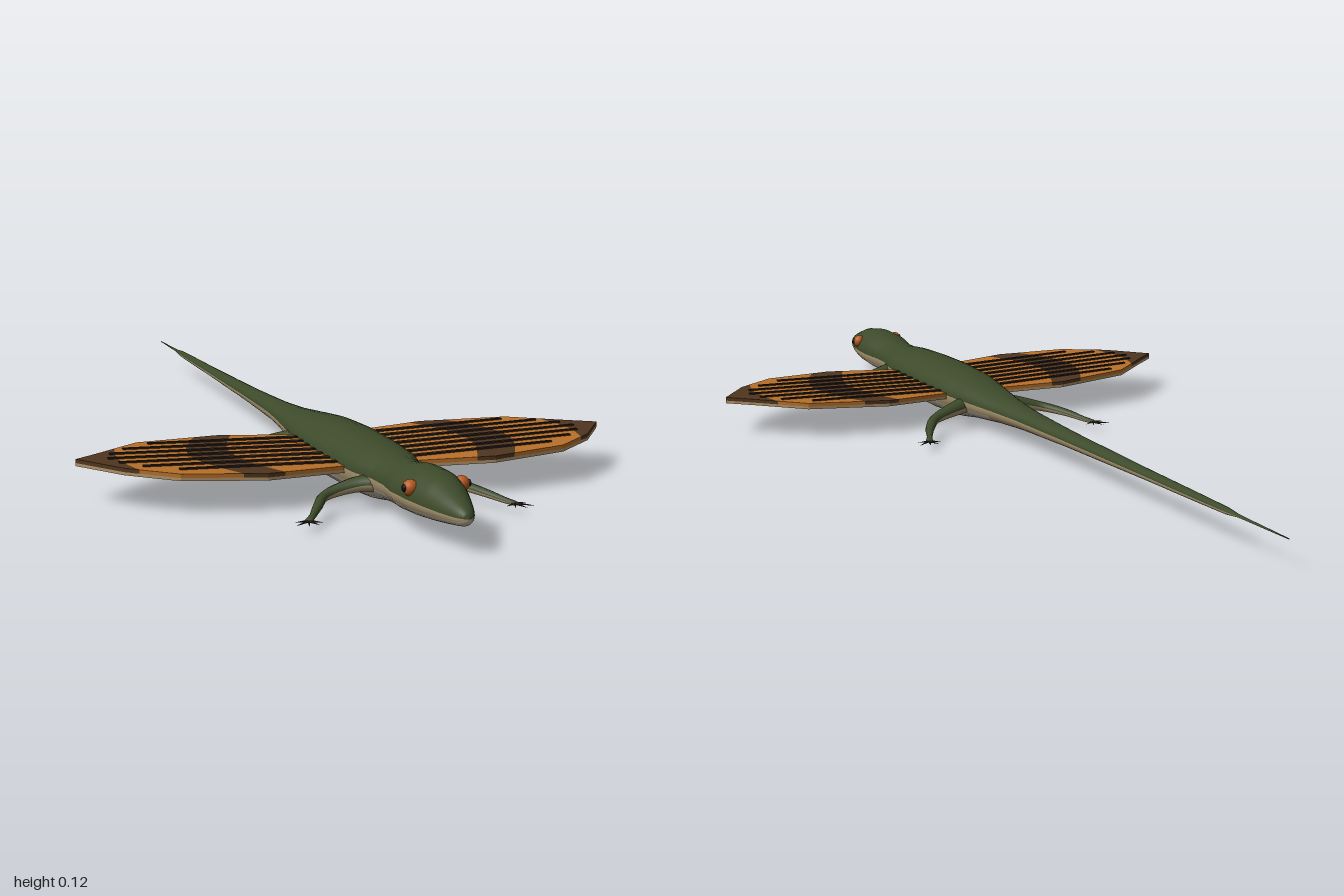
import * as THREE from 'three';

const mat = (name, hex) => {
  const m = new THREE.MeshStandardMaterial({ color: hex });
  m.name = name;
  return m;
};

// Smooth skin through sections [x, y, z, halfWidth, heightAbove, depthBelow];
// zone(h, z) picks the material from the height round the section (-1 to 1) and the position along z
function loft(sections, steps, sides, zone, sx = 1) {
  const at = (k) => (s) => new THREE.Vector3(s[k] * (k === 0 ? sx : 1), s[k + 1], s[k + 2]);
  const path = new THREE.CatmullRomCurve3(sections.map(at(0)), false, 'centripetal');
  const size = sections.map(at(3));
  const up = new THREE.Vector3(0, 1, 0);
  const pos = [], zones = [[], [], []];
  for (let i = 0; i <= steps; i++) {
    const t = i / steps, f = t * (sections.length - 1);
    const k = Math.min(Math.floor(f), sections.length - 2);
    const p = path.getPoint(t), s = size[k].clone().lerp(size[k + 1], f - k);
    const right = path.getTangent(t).cross(up).normalize();
    for (let j = 0; j < sides; j++) {
      const a = (j / sides) * Math.PI * 2, c = Math.cos(a) * s.x, h = Math.sin(a);
      pos.push(p.x + right.x * c, p.y + h * (h > 0 ? s.y : s.z), p.z + right.z * c);
      if (i === steps) continue;
      const n = (j + 1) % sides, r = i * sides;
      const mid = Math.sin(((j + 0.5) / sides) * Math.PI * 2);
      zones[zone(mid, p.z)].push(r + j, r + sides + j, r + n, r + n, r + sides + j, r + sides + n);
    }
  }
  const g = new THREE.BufferGeometry();
  g.setAttribute('position', new THREE.Float32BufferAttribute(pos, 3));
  g.setIndex(zones.flat());
  let start = 0;
  zones.forEach((list, i) => {
    g.addGroup(start, list.length, i);
    start += list.length;
  });
  g.computeVertexNormals();
  return g;
}

// Wing outline as [x, z], rear root round the tip to the front root
const OUTLINE = [[0.03, 0.285], [0.07, 0.28], [0.22, 0.255], [0.4, 0.29], [0.5, 0.375], [0.55, 0.415],
  [0.48, 0.51], [0.39, 0.58], [0.23, 0.61], [0.07, 0.58], [0.03, 0.57]];
const REAR = OUTLINE.slice(0, 6), FRONT = OUTLINE.slice(5).reverse();

function edgeZ(edge, x) {
  const i = edge.findIndex((p) => p[0] >= x), [a, b] = [edge[i - 1], edge[i]];
  return a[1] + ((b[1] - a[1]) * (x - a[0])) / (b[0] - a[0]);
}

// Curve across the wing from rear edge to front edge, bulging toward the tip
function across(x0, bulge, n = 14) {
  const rear = edgeZ(REAR, x0), front = edgeZ(FRONT, x0);
  return Array.from({ length: n + 1 }, (_, i) =>
    [x0 + bulge * Math.sin((Math.PI * i) / n), THREE.MathUtils.lerp(rear, front, i / n)]);
}

// Flat plate from [x, z] points, laid level then sloped up toward the tip
function plate(points, y, depth) {
  const g = new THREE.ExtrudeGeometry(new THREE.Shape(points.map(([x, z]) => new THREE.Vector2(x, -z))),
    { depth, bevelEnabled: false });
  g.rotateX(-Math.PI / 2);
  const p = g.attributes.position;
  for (let i = 0; i < p.count; i++) p.setY(i, p.getY(i) + y + 0.026 * p.getX(i));
  g.computeVertexNormals();
  return g;
}

// Mirrored copy with corner order restored
function mirrorX(g) {
  const m = g.clone().scale(-1, 1, 1), p = m.attributes.position;
  for (let i = 0; i < p.count; i += 3) {
    const a = [p.getX(i), p.getY(i), p.getZ(i)];
    p.setXYZ(i, p.getX(i + 1), p.getY(i + 1), p.getZ(i + 1));
    p.setXYZ(i + 1, ...a);
  }
  m.computeVertexNormals();
  return m;
}

export function createModel() {
  const green = mat('back green', 0x3d4a2a), tan = mat('flank tan', 0xa8946f), belly = mat('belly pale', 0xc2b7a0);
  const orange = mat('wing orange', 0xb97029), brown = mat('band brown', 0x50351f);
  const dark = mat('ray dark brown', 0x2a1f18), under = mat('wing underside', 0xb19368);
  const eyeOrange = mat('eye orange', 0xb85a1e), black = mat('pupil black', 0x0c0a08);
  const model = new THREE.Group();
  model.name = 'glidingLizard';
  const add = (name, geometry, material, parent = model) => {
    const m = new THREE.Mesh(geometry, material);
    m.name = name;
    parent.add(m);
    return m;
  };

  // Head, trunk and tail: z, half width, top, side line, bottom
  const body = [
    [1, 0.0002, 0.0642, 0.064, 0.0638], [0.996, 0.009, 0.073, 0.064, 0.055], [0.985, 0.017, 0.081, 0.064, 0.048],
    [0.95, 0.031, 0.095, 0.065, 0.042], [0.9, 0.046, 0.112, 0.067, 0.036], [0.85, 0.057, 0.119, 0.069, 0.031],
    [0.79, 0.06, 0.117, 0.069, 0.027], [0.73, 0.051, 0.108, 0.067, 0.024], [0.68, 0.053, 0.106, 0.067, 0.02],
    [0.62, 0.067, 0.111, 0.067, 0.01], [0.54, 0.073, 0.114, 0.067, 0.004], [0.42, 0.075, 0.115, 0.067, 0.001],
    [0.3, 0.071, 0.11, 0.066, 0.006], [0.22, 0.06, 0.102, 0.064, 0.018], [0.1, 0.041, 0.089, 0.062, 0.03],
    [0, 0.03, 0.083, 0.061, 0.036], [-0.2, 0.021, 0.076, 0.06, 0.042], [-0.5, 0.014, 0.07, 0.06, 0.048],
    [-0.8, 0.008, 0.066, 0.06, 0.053], [-0.84, 0.004, 0.063, 0.06, 0.057], [-1, 0.001, 0.061, 0.06, 0.059],
  ].map(([z, w, top, mid, bottom]) => [0, mid, z, w, top - mid, mid - bottom]);
  add('body', loft(body, 120, 28, (h, z) => (h > 0 ? 0 : h > -0.4 || z < 0.12 ? 1 : 2)), [green, tan, belly]);

  // Gliding wings: orange skin and brown bands side by side over a pale brown underside, with rib rays on top
  const bandIn = across(0.195, 0.05), bandOut = across(0.275, 0.055), tipEdge = across(0.455, 0.016);
  const skin = (points) => plate(points, 0.061, 0.0075);
  const parts = [
    ['wingUnderside', plate(OUTLINE, 0.055, 0.006), under],
    ['innerSkin', skin([...OUTLINE.slice(0, 2), ...bandIn, ...OUTLINE.slice(9)]), orange],
    ['innerBand', skin([...bandIn.slice(0, 1), OUTLINE[2], ...bandOut, OUTLINE[8], ...bandIn.slice(1).reverse()]), brown],
    ['outerSkin', skin([...bandOut.slice(0, 1), OUTLINE[3], ...tipEdge, OUTLINE[7], ...bandOut.slice(1).reverse()]), orange],
    ['tipBand', skin([...OUTLINE.slice(4, 7), ...tipEdge.slice().reverse()]), brown],
  ];
  for (let i = 0; i < 7; i++) {
    const z = 0.31 + i * 0.039, end = 0.49 - 0.012 * (i - 3) ** 2, w = 0.0065;
    parts.push(['ray', plate([[0.05, z - w], [end, z - w * 0.6], [end, z + w * 0.6], [0.05, z + w]], 0.067, 0.0045), dark]);
  }
  for (const side of [1, -1]) {
    const wing = new THREE.Group();
    wing.name = side > 0 ? 'leftWing' : 'rightWing';
    model.add(wing);
    for (const [name, g, m] of parts) add(name, side > 0 ? g : mirrorX(g), m, wing);
  }

  // Legs: x, y, z, half width, above, below; then the toe fan
  const legs = {
    frontLeg: { heading: 1, path: [[0.03, 0.055, 0.665, 0.022, 0.018, 0.018], [0.075, 0.05, 0.65, 0.017, 0.015, 0.015],
      [0.135, 0.036, 0.657, 0.01, 0.01, 0.01], [0.168, 0.028, 0.705, 0.009, 0.008, 0.008],
      [0.19, 0.021, 0.74, 0.006, 0.006, 0.006], [0.203, 0.018, 0.757, 0.008, 0.004, 0.004], [0.207, 0.017, 0.763, 0.001, 0.001, 0.001]] },
    hindLeg: { heading: -1, path: [[0.025, 0.055, 0.235, 0.026, 0.02, 0.02], [0.075, 0.048, 0.217, 0.019, 0.016, 0.016],
      [0.135, 0.036, 0.192, 0.012, 0.011, 0.011], [0.172, 0.028, 0.14, 0.01, 0.008, 0.008],
      [0.191, 0.021, 0.1, 0.006, 0.006, 0.006], [0.203, 0.018, 0.075, 0.008, 0.004, 0.004], [0.207, 0.017, 0.069, 0.001, 0.001, 0.001]] },
  };
  for (const [name, { heading, path }] of Object.entries(legs)) {
    for (const side of [1, -1]) {
      const leg = new THREE.Group();
      leg.name = (side > 0 ? 'left ' : 'right ') + name;
      model.add(leg);
      add('limb', loft(path, 30, 12, (h) => (h > 0 ? 0 : 1), side), [green, tan], leg);
      for (let i = 0; i < 5; i++) {
        const a = -1.1 + i * 0.7, len = 0.026 + 0.004 * (i % 4);
        const m = add('toe', new THREE.ConeGeometry(0.003, len, 6).translate(0, len / 2, 0), dark, leg);
        const dir = new THREE.Vector3(side * Math.sin(a), -0.06, heading * Math.cos(a));
        m.quaternion.setFromUnitVectors(new THREE.Vector3(0, 1, 0), dir.normalize());
        m.position.set(side * 0.203, 0.018, heading > 0 ? 0.757 : 0.075);
      }
    }
  }

  // Eyes with pupils
  for (const side of [1, -1]) {
    const eye = add('eye', new THREE.SphereGeometry(0.015, 20, 14), eyeOrange);
    eye.position.set(side * 0.049, 0.09, 0.856);
    const pupil = add('pupil', new THREE.SphereGeometry(0.007, 14, 10), black);
    pupil.scale.x = 0.5;
    pupil.position.set(side * 0.0625, 0.091, 0.859);
  }
  return model;
}
